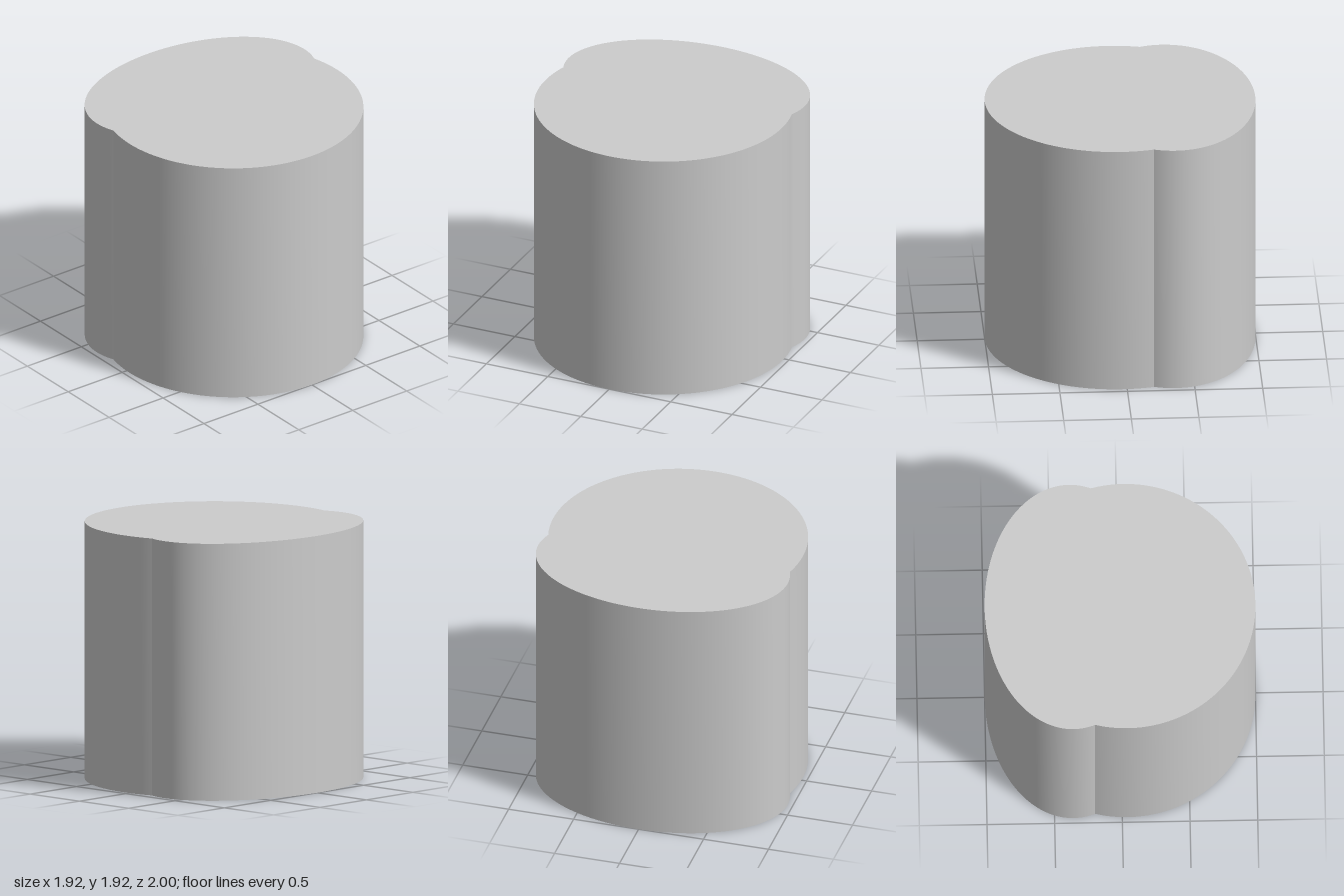
import * as THREE from 'three';
import { toCreasedNormals } from 'three/addons/utils/BufferGeometryUtils.js';

export function createModel() {
  const model = new THREE.Group();
  const radius = 0.96, height = 1.92;
  const notch = Math.asin(0.25); // angle at which both lobes meet

  // Outline: round front lobe joined to a flattened elliptical back lobe
  const outline = new THREE.Shape();
  outline.absarc(0, -0.04, radius, Math.PI - notch, 2 * Math.PI + notch, false);
  outline.absellipse(0, 0.36, radius, 0.64, -notch, Math.PI + notch, false, 0);

  // Upright prism, smooth around the lobes and sharp at the notches and rims
  const solid = new THREE.ExtrudeGeometry(outline, {
    depth: height, bevelEnabled: false, curveSegments: 64,
  });
  solid.rotateX(-Math.PI / 2);

  const body = new THREE.Mesh(
    toCreasedNormals(solid, 0.3),
    new THREE.MeshStandardMaterial({ color: 0xcccccc }),
  );
  body.name = 'twoLobedBody';
  model.add(body);
  return model;
}
